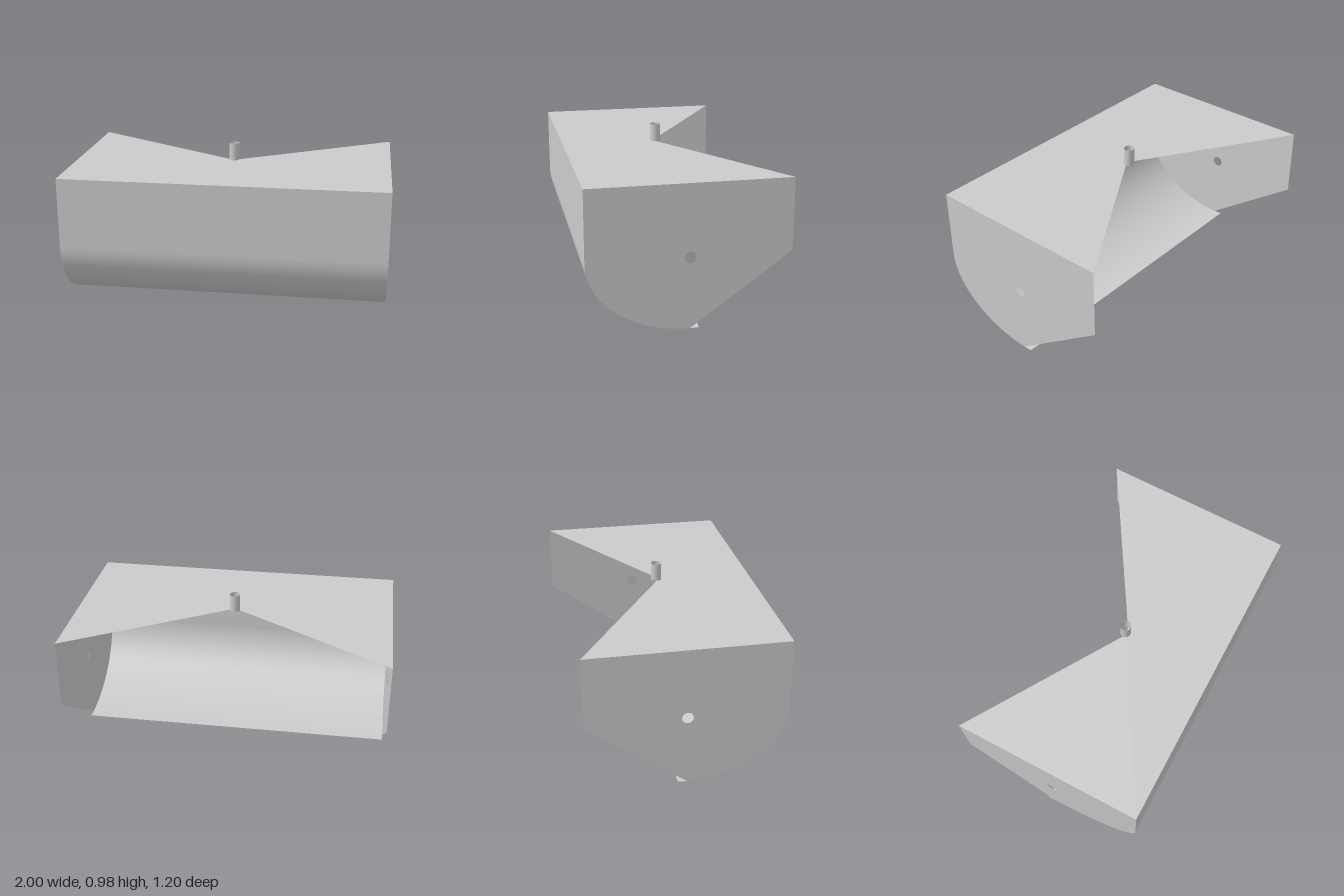
import * as THREE from 'three';

const TOP = 0.87, MID = 0.435, HALF_Z = 0.6, HOLE_R = 0.034, LIP_Z = -0.055;

export function createModel() {
  const group = new THREE.Group();
  const material = new THREE.MeshStandardMaterial({ color: 0xcccccc, side: THREE.DoubleSide });
  const add = (name, geometry) => {
    const mesh = new THREE.Mesh(geometry, material);
    mesh.name = name;
    group.add(mesh);
    return mesh;
  };

  // Top plate with a V-shaped notch cut from the back (shape y is -z)
  const plate = new THREE.Shape();
  plate.moveTo(-1, -HALF_Z);
  plate.lineTo(1, -HALF_Z);
  plate.lineTo(1, HALF_Z);
  plate.lineTo(0.03, 0);
  plate.lineTo(-0.03, 0);
  plate.lineTo(-1, HALF_Z);
  add('topPlate', new THREE.ShapeGeometry(plate).rotateX(-Math.PI / 2).translate(0, TOP, 0));

  // End panels: quarter ellipse in front, sloped behind, with a round hole
  const end = new THREE.Shape();
  end.moveTo(0, 0);
  end.lineTo(-HALF_Z, MID);
  end.lineTo(-HALF_Z, TOP);
  end.lineTo(HALF_Z, TOP);
  end.lineTo(HALF_Z, MID);
  end.absellipse(0, MID, HALF_Z, MID, 0, -Math.PI / 2, true);
  end.holes.push(new THREE.Path().absarc(0, MID, HOLE_R, 0, Math.PI * 2, true));
  const endGeometry = new THREE.ShapeGeometry(end, 40).rotateY(-Math.PI / 2);
  for (const side of [-1, 1]) {
    add(side > 0 ? 'leftEndPanel' : 'rightEndPanel', endGeometry).position.x = side;
  }

  // Front wall rolling under into the bottom, with a short lip behind the centre
  const steps = 40;
  const sweep = Math.PI / 2 + Math.asin(-LIP_Z / HALF_Z);
  const shell = new THREE.PlaneGeometry(2, 1, 1, steps + 1);
  const pos = shell.attributes.position;
  for (let i = 0; i < pos.count; i++) {
    const row = Math.floor(i / 2);
    const a = (Math.max(row - 1, 0) / steps) * sweep;
    pos.setY(i, row === 0 ? TOP : MID - MID * Math.sin(a));
    pos.setZ(i, HALF_Z * Math.cos(a));
  }
  shell.computeVertexNormals();
  add('curvedFrontWall', shell);

  // Open tube standing at the tip of the notch
  add('topTube', new THREE.CylinderGeometry(0.033, 0.033, 0.11, 32, 1, true)).position.y = TOP + 0.055;

  return group;
}
